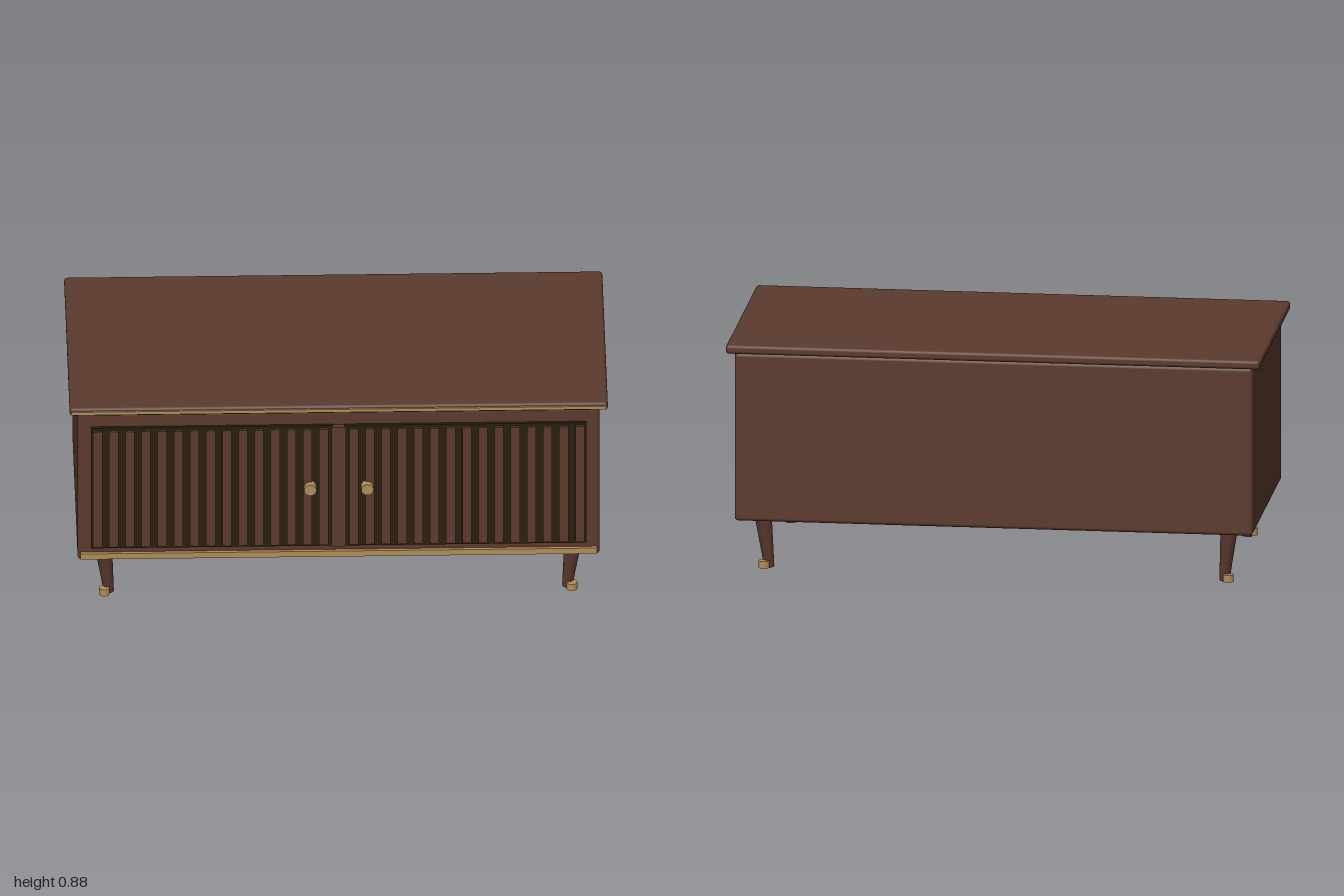
import * as THREE from 'three';
import { RoundedBoxGeometry } from 'three/addons/geometries/RoundedBoxGeometry.js';

export function createModel() {
  const group = new THREE.Group();
  const material = (name, color) => {
    const m = new THREE.MeshStandardMaterial({ color });
    m.name = name;
    return m;
  };
  const wood = material('walnut', 0x5c3a2d);
  const dark = material('darkRecess', 0x24210f);
  const brass = material('brass', 0xb08d57);

  const add = (name, geometry, mat, x = 0, y = 0, z = 0) => {
    const mesh = new THREE.Mesh(geometry, mat);
    mesh.name = name;
    mesh.position.set(x, y, z);
    group.add(mesh);
    return mesh;
  };
  // Box given by its limits, with optional rounded edges
  const box = (name, mat, [x0, x1], [y0, y1], [z0, z1], radius = 0) => {
    const size = [x1 - x0, y1 - y0, z1 - z0];
    const geometry = radius
      ? new RoundedBoxGeometry(...size, 3, radius)
      : new THREE.BoxGeometry(...size);
    return add(name, geometry, mat, (x0 + x1) / 2, (y0 + y1) / 2, (z0 + z1) / 2);
  };

  // Carcass and overhanging top
  box('cabinetBody', wood, [-0.97, 0.97], [0.2, 0.843], [-0.45, 0.433], 0.014);
  box('tabletop', wood, [-1, 1], [0.845, 0.879], [-0.478, 0.461], 0.012);

  // Brass trims along the front
  box('topTrim', brass, [-0.995, 0.995], [0.856, 0.869], [0.45, 0.468]);
  box('bottomTrim', brass, [-0.96, 0.96], [0.213, 0.237], [0.425, 0.446]);

  // Slatted doors with knobs, mirrored about a centre stile
  for (const side of [-1, 1]) {
    box('doorPanel', dark, side < 0 ? [-0.92, -0.02] : [0.02, 0.92], [0.26, 0.784], [0.425, 0.444]);
    for (let i = 0; i < 15; i++) {
      const x = side * (0.056 + i * 0.06);
      box('slat', wood, [x - 0.017, x + 0.017], [0.27, 0.773], [0.44, 0.454]);
    }
    const knob = add('knob', new THREE.CylinderGeometry(0.023, 0.023, 0.04, 24), brass, side * 0.106, 0.522, 0.458);
    knob.rotation.x = Math.PI / 2;
  }
  box('centreStile', wood, [-0.027, 0.027], [0.262, 0.782], [0.425, 0.455]);

  // Tapered legs leaning inward, each with an upright brass foot
  const up = new THREE.Vector3(0, 1, 0);
  for (const sx of [-1, 1]) {
    for (const [sz, offset] of [[1, 0], [-1, 0.018]]) {
      const top = new THREE.Vector3(sx * 0.872, 0.205, sz * (0.349 + offset));
      const foot = new THREE.Vector3(sx * 0.852, 0.005, sz * (0.328 + offset));
      const axis = top.clone().sub(foot);
      const leg = add('leg', new THREE.CylinderGeometry(0.032, 0.019, axis.length(), 24), wood);
      leg.position.copy(top).add(foot).multiplyScalar(0.5);
      leg.quaternion.setFromUnitVectors(up, axis.normalize());
      add('legFoot', new THREE.CylinderGeometry(0.02, 0.02, 0.028, 24), brass,
        sx * 0.869, 0.019, sz * (0.352 + offset));
    }
  }
  return group;
}
